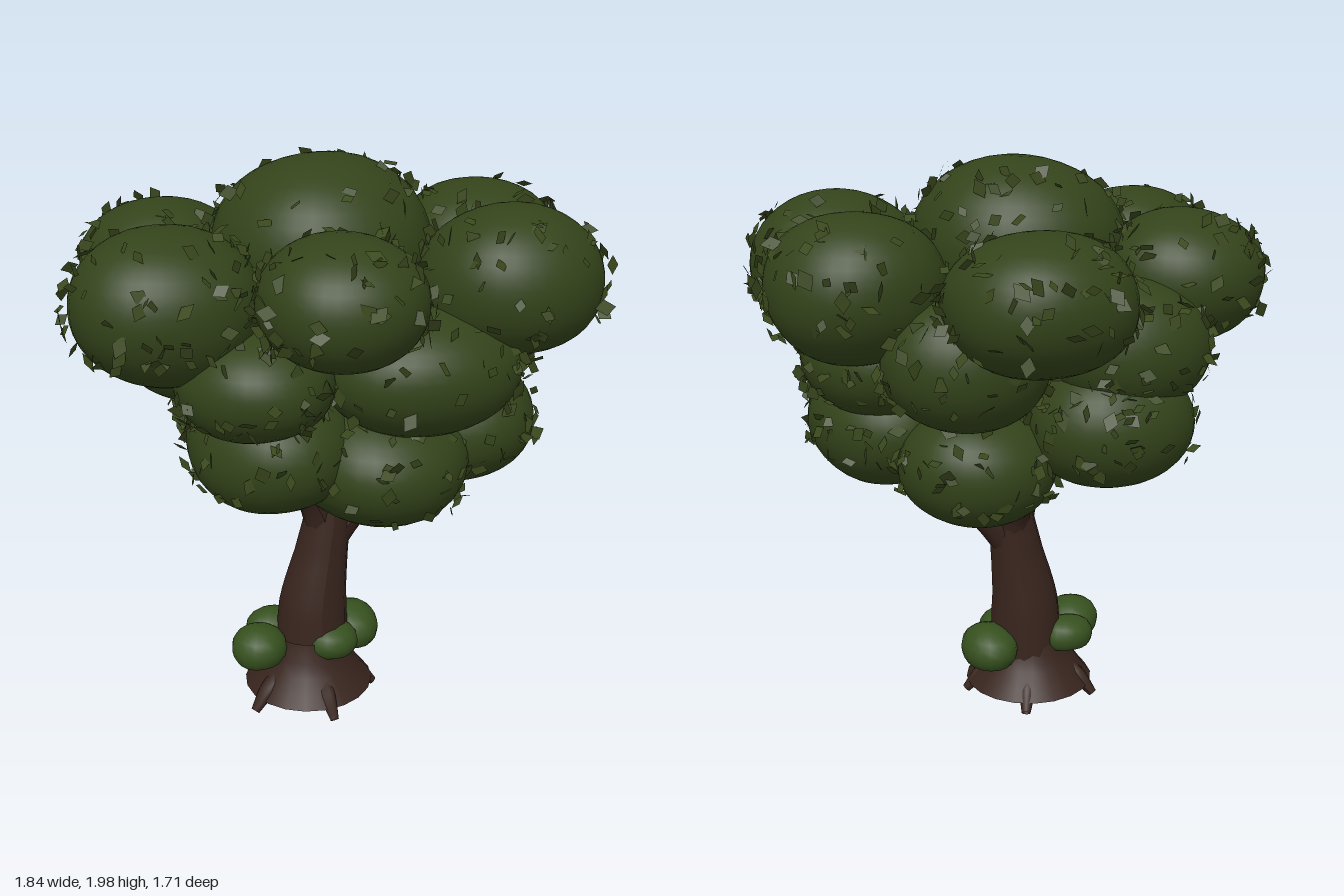
import * as THREE from 'three';
import { mergeGeometries } from 'three/addons/utils/BufferGeometryUtils.js';

const V = (x, y, z) => new THREE.Vector3(x, y, z);

// Small seeded generator
let seed = 7;
const rand = () => {
  seed = (seed * 16807) % 2147483647;
  return seed / 2147483647;
};

// Foliage clumps: centre x, y, z and radii x, y, z
const topClumps = [
  [-0.02, 1.69, 0.02, 0.36, 0.3, 0.36],
  [0.14, 1.6, -0.54, 0.3, 0.22, 0.28],
  [-0.5, 1.6, -0.25, 0.28, 0.22, 0.27],
  [-0.58, 1.6, 0.27, 0.3, 0.24, 0.28],
  [-0.1, 1.65, 0.55, 0.26, 0.2, 0.26],
  [0.52, 1.62, 0.35, 0.3, 0.24, 0.27],
  [0.59, 1.61, -0.13, 0.29, 0.24, 0.28],
];
const middleClumps = [
  [0.2, 1.37, 0.38, 0.33, 0.21, 0.29],
  [-0.33, 1.37, 0.36, 0.25, 0.18, 0.28],
  [-0.43, 1.38, -0.03, 0.26, 0.19, 0.27],
  [-0.24, 1.41, -0.38, 0.27, 0.22, 0.24],
  [0.3, 1.39, -0.33, 0.27, 0.22, 0.23],
  [0.45, 1.34, 0.04, 0.28, 0.19, 0.29],
];
const lowerClumps = [
  [-0.25, 1.11, 0.24, 0.27, 0.22, 0.32],
  [0.1, 1.04, 0.22, 0.31, 0.225, 0.4],
  [0.42, 1.1, 0.14, 0.27, 0.22, 0.31],
  [0.23, 1.02, -0.24, 0.26, 0.2, 0.25],
  [-0.18, 1.16, -0.37, 0.28, 0.22, 0.26],
  [-0.26, 1.11, -0.05, 0.24, 0.18, 0.24],
];

// Tapered limb along a smooth path
function limb(points, radii, sides = 12) {
  const curve = new THREE.CatmullRomCurve3(points);
  const n = 20;
  const geo = new THREE.TubeGeometry(curve, n, 1, sides, false);
  const p = geo.attributes.position;
  const v = V(0, 0, 0);
  for (let i = 0; i <= n; i++) {
    const centre = curve.getPointAt(i / n);
    const t = (i / n) * (radii.length - 1);
    const k = Math.min(Math.floor(t), radii.length - 2);
    const r = THREE.MathUtils.lerp(radii[k], radii[k + 1], t - k);
    for (let j = 0; j <= sides; j++) {
      const id = i * (sides + 1) + j;
      v.fromBufferAttribute(p, id).sub(centre).multiplyScalar(r).add(centre);
      p.setXYZ(id, v.x, v.y, v.z);
    }
  }
  geo.computeVertexNormals();
  return geo;
}

// Slightly boxy, lumpy ellipsoid, cut flat below the floor level (-1 keeps it whole)
function clumpGeometry([x, , z, rx, ry, rz], floor = -1, segments = 36) {
  const geo = new THREE.SphereGeometry(1, segments, Math.round(segments * 0.6));
  const p = geo.attributes.position;
  const v = V(0, 0, 0);
  const power = 2.1;
  for (let i = 0; i < p.count; i++) {
    v.fromBufferAttribute(p, i);
    const sum = Math.abs(v.x) ** power + Math.abs(v.y) ** power + Math.abs(v.z) ** power;
    const bump = 1 + 0.02 * Math.sin(3 * v.x + 9 * x) * Math.sin(3 * v.z + 7 * z + 2 * v.y);
    v.multiplyScalar(bump / sum ** (1 / power));
    p.setXYZ(i, v.x, Math.max(v.y, floor), v.z);
  }
  geo.scale(rx, ry, rz);
  geo.computeVertexNormals();
  return geo;
}

// Diamond leaves scattered over the exposed clump surfaces
function leafGeometry(clumps) {
  const diamond = new THREE.CircleGeometry(0.03, 4);
  diamond.scale(0.72, 1, 1);
  const leaves = [];
  const inside = (q, c) =>
    ((q.x - c[0]) / c[3]) ** 2 + ((q.y - c[1]) / c[4]) ** 2 + ((q.z - c[2]) / c[5]) ** 2 < 1;
  const q = new THREE.Quaternion();
  const spin = new THREE.Quaternion();
  for (const c of clumps) {
    for (let i = 0; i < 110; i++) {
      const a = rand() * Math.PI * 2;
      const h = rand() * 1.4 - 0.55;
      const s = Math.sqrt(1 - h * h);
      const dir = V(s * Math.cos(a), h, s * Math.sin(a));
      const lift = 1.01 + rand() * 0.1;
      const pos = V(c[0] + dir.x * c[3] * lift, c[1] + dir.y * c[4] * lift, c[2] + dir.z * c[5] * lift);
      if (pos.y > 1.96 || clumps.some((o) => o !== c && inside(pos, o))) continue;
      q.setFromUnitVectors(V(0, 0, 1), dir);
      spin.setFromEuler(new THREE.Euler((rand() - 0.5) * 2, (rand() - 0.5) * 2, rand() * 6.28));
      q.multiply(spin);
      const size = 0.7 + rand() * 0.55;
      leaves.push(diamond.clone().applyMatrix4(new THREE.Matrix4().compose(pos, q, V(size, size, size))));
    }
  }
  return mergeGeometries(leaves);
}

export function createModel() {
  seed = 7;
  const tree = new THREE.Group();
  tree.name = 'tree';
  const bark = new THREE.MeshStandardMaterial({ color: 0x38241d, side: THREE.DoubleSide });
  const green = new THREE.MeshStandardMaterial({ color: 0x33431a });
  const leafGreen = new THREE.MeshStandardMaterial({ color: 0x3a481d, side: THREE.DoubleSide });
  const tuftGreen = new THREE.MeshStandardMaterial({ color: 0x36501e });

  const add = (name, geo, mat, parent = tree) => {
    const mesh = new THREE.Mesh(geo, mat);
    mesh.name = name;
    parent.add(mesh);
    return mesh;
  };
  const group = (name) => {
    const g = new THREE.Group();
    g.name = name;
    tree.add(g);
    return g;
  };

  // Trunk leaning towards +x as it rises
  add('trunk', limb(
    [V(-0.06, 0.17, 0.035), V(-0.052, 0.38, 0.03), V(-0.018, 0.58, 0.027), V(0.005, 0.74, 0.025), V(0.0, 0.95, 0.02)],
    [0.136, 0.124, 0.097, 0.078, 0.06], 14), bark);

  // Flared skirt over the roots
  const skirt = new THREE.LatheGeometry(
    [[0.235, 0.052], [0.205, 0.09], [0.17, 0.14], [0.142, 0.19], [0.125, 0.26]].map(([r, y]) => new THREE.Vector2(r, y)), 20);
  add('rootFlare', skirt, bark).position.set(-0.075, 0, 0.04);

  // Five roots spread evenly under the skirt, only their tips showing
  const roots = group('roots');
  roots.position.set(-0.085, 0, 0.045);
  for (let i = 0; i < 5; i++) {
    const root = add('root', limb(
      [V(0.02, 0.12, 0), V(0.11, 0.12, 0), V(0.19, 0.077, 0), V(0.25, 0.017, 0)],
      [0.032, 0.034, 0.032, 0.016], 8), bark, roots);
    root.rotation.y = -THREE.MathUtils.degToRad(9 + i * 72);
  }

  // Branches reaching into the crown
  const branches = group('branches');
  [
    [V(0.0, 0.6, 0.025), V(0.07, 0.69, 0.025), V(0.17, 0.8, 0.03), V(0.31, 0.95, 0.05)],
    [V(-0.01, 0.66, 0.03), V(-0.05, 0.77, 0.05), V(-0.11, 0.87, 0.09), V(-0.19, 1, 0.14)],
    [V(0, 0.64, 0.02), V(0.01, 0.74, -0.02), V(0.01, 0.83, -0.09), V(0.02, 0.95, -0.19)],
  ].forEach((path) => add('branch', limb(path, [0.066, 0.058, 0.047, 0.034], 10), bark, branches));

  // Crown in three tiers
  const crown = group('crown');
  const tiers = { topClump: topClumps, middleClump: middleClumps, lowerClump: lowerClumps };
  for (const [name, list] of Object.entries(tiers)) {
    for (const c of list) add(name, clumpGeometry(c), green, crown).position.set(c[0], c[1], c[2]);
  }
  add('leaves', leafGeometry([...topClumps, ...middleClumps, ...lowerClumps]), leafGreen, crown);

  // Flat-bottomed tufts growing around the trunk base
  const tufts = group('baseTufts');
  [
    [-0.27, 0.235, 0.08, 0.1, 0.083, 0.1],
    [-0.01, 0.24, 0.11, 0.1, 0.068, 0.09],
    [0.105, 0.222, -0.01, 0.1, 0.085, 0.12],
    [-0.19, 0.24, -0.05, 0.1, 0.068, 0.08],
  ].forEach((c) => add('tuft', clumpGeometry(c, -0.6, 16), tuftGreen, tufts).position.set(c[0], c[1], c[2]));

  return tree;
}
